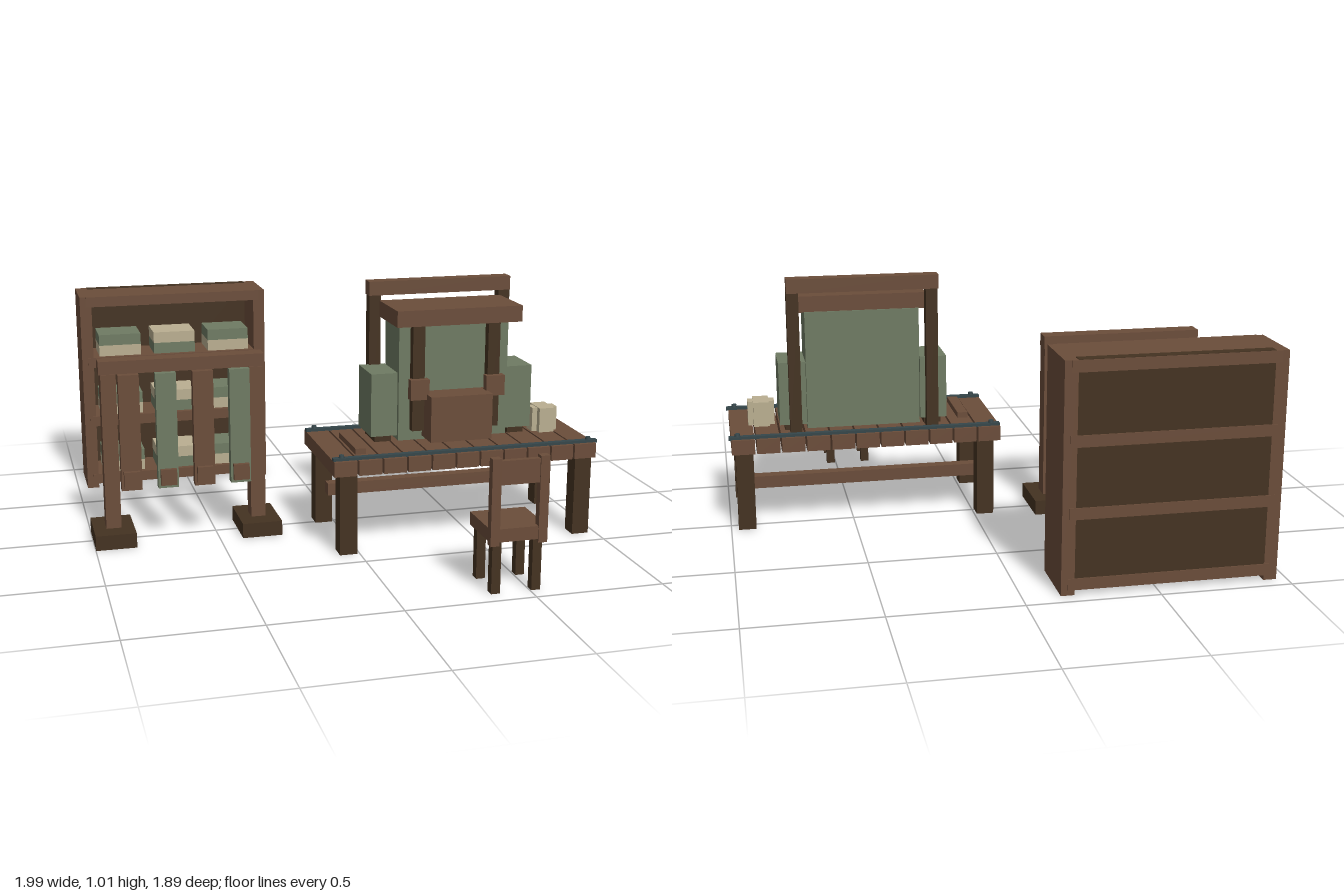
import * as THREE from 'three';

const mat = (name, color) => {
  const m = new THREE.MeshStandardMaterial({ color });
  m.name = name;
  return m;
};

export function createModel() {
  const brown = mat('brown wood', 0x6b4d3a);
  const dark = mat('dark wood', 0x443221);
  const green = mat('sage green', 0x6f7b63);
  const cream = mat('cream', 0xbaaf91);
  const iron = mat('dark iron', 0x35464a);

  const model = new THREE.Group();
  const group = (name) => {
    const g = new THREE.Group();
    g.name = name;
    model.add(g);
    return g;
  };
  // Box given by its limits on each axis
  const box = (parent, name, m, x0, x1, y0, y1, z0, z1) => {
    const mesh = new THREE.Mesh(new THREE.BoxGeometry(x1 - x0, y1 - y0, z1 - z0), m);
    mesh.position.set((x0 + x1) / 2, (y0 + y1) / 2, (z0 + z1) / 2);
    mesh.name = name;
    parent.add(mesh);
    return mesh;
  };

  // Bookcase: sides, back board, shelves and two-tone stacks
  const bookcase = group('bookcase');
  box(bookcase, 'sidePanel', brown, -0.96, -0.91, 0, 0.87, -0.945, -0.70);
  box(bookcase, 'sidePanel', brown, -0.19, -0.14, 0, 0.87, -0.945, -0.70);
  box(bookcase, 'backBoard', dark, -0.91, -0.19, 0.03, 0.872, -0.944, -0.905);
  for (const y of [0.02, 0.287, 0.555, 0.826])
    box(bookcase, 'shelf', brown, -0.935, -0.165, y, y + 0.044, -0.948, -0.695);
  for (const y of [0.064, 0.331, 0.599]) {
    [-0.79, -0.548, -0.305].forEach((x, i) => {
      const [low, high] = i % 2 ? [green, cream] : [cream, green];
      box(bookcase, 'stackBottom', low, x - 0.092, x + 0.092, y, y + 0.048, -0.89, -0.72);
      box(bookcase, 'stackTop', high, x - 0.092, x + 0.092, y + 0.048, y + 0.096, -0.89, -0.72);
    });
  }

  // Hanging rack: beam, two posts on feet, four strips with weights
  const rack = group('hangingRack');
  box(rack, 'rackBeam', brown, -0.955, -0.295, 0.69, 0.742, -0.035, 0.035);
  for (const x of [-0.918, -0.328]) {
    box(rack, 'rackPost', brown, x - 0.03, x + 0.03, 0.06, 0.69, -0.033, 0.04);
    box(rack, 'rackFoot', dark, x - 0.081, x + 0.081, 0, 0.06, -0.113, 0.123);
  }
  [-0.842, -0.696, -0.549, -0.402].forEach((x, i) => {
    box(rack, 'strip', i % 2 ? green : brown, x - 0.041, x + 0.041, 0.22, 0.69, 0.025, 0.064);
    box(rack, 'weight', brown, x - 0.032, x + 0.032, 0.235, 0.30, 0.05, 0.083);
  });

  // Workbench: planks, legs, stretcher and iron rods
  const table = group('workbench');
  for (let i = 0; i < 11; i++) {
    const x = -0.105 + i * 0.0998;
    box(table, 'plank', brown, x, x + 0.092, 0.322, 0.382, -0.073, 0.42);
  }
  for (const x of [-0.08, 0.90])
    for (const z of [-0.055, 0.342])
      box(table, 'tableLeg', dark, x, x + 0.07, 0, 0.322, z, z + 0.07);
  box(table, 'stretcher', brown, -0.045, 0.935, 0.14, 0.19, 0.04, 0.087);
  for (const z of [-0.048, 0.393]) {
    box(table, 'rod', iron, -0.105, 0.995, 0.38, 0.393, z - 0.012, z + 0.012);
    for (const x of [-0.07, 0.96]) {
      const bolt = new THREE.Mesh(new THREE.CylinderGeometry(0.01, 0.012, 0.014, 8), iron);
      bolt.position.set(x, 0.397, z);
      bolt.name = 'bolt';
      table.add(bolt);
    }
  }

  // Press on the bench, mirrored about its middle
  const press = group('press');
  const mid = 0.445;
  box(press, 'topBeam', brown, 0.14, 0.746, 0.955, 1.012, -0.02, 0.038);
  box(press, 'body', green, 0.215, 0.675, 0.39, 0.87, 0.022, 0.21);
  box(press, 'canopy', brown, 0.185, 0.705, 0.868, 0.933, 0.028, 0.282);
  box(press, 'chest', brown, 0.315, 0.572, 0.405, 0.59, 0.2, 0.325);
  for (const s of [-1, 1]) {
    const pair = (name, m, a, b, ...rest) =>
      box(press, name, m, Math.min(mid + s * a, mid + s * b), Math.max(mid + s * a, mid + s * b), ...rest);
    pair('backPost', dark, 0.254, 0.302, 0.382, 0.957, -0.015, 0.031);
    pair('frontPost', dark, 0.133, 0.183, 0.435, 0.87, 0.205, 0.245);
    pair('clamp', brown, 0.12, 0.198, 0.568, 0.65, 0.235, 0.27);
    pair('sideBox', green, 0.232, 0.341, 0.41, 0.668, 0.018, 0.2);
    pair('sideBoxFoot', dark, 0.25, 0.32, 0.382, 0.41, 0.04, 0.18);
  }

  // Loose items on the bench
  const items = group('benchItems');
  box(items, 'looseBoard', brown, 0.003, 0.046, 0.382, 0.405, 0.08, 0.332);
  box(items, 'paperRollWide', cream, 0.802, 0.91, 0.382, 0.482, 0.135, 0.188);
  box(items, 'paperRollDeep', cream, 0.824, 0.888, 0.382, 0.484, 0.108, 0.214);

  // Chair
  const chair = group('chair');
  box(chair, 'seat', brown, 0.337, 0.555, 0.2, 0.25, 0.728, 0.943);
  for (const x of [0.348, 0.505])
    for (const z of [0.744, 0.9])
      box(chair, 'chairLeg', dark, x, x + 0.035, 0, 0.2, z, z + 0.035);
  for (const x of [0.336, 0.52])
    box(chair, 'backPost', brown, x, x + 0.035, 0.187, 0.515, 0.915, 0.947);
  box(chair, 'backRail', brown, 0.365, 0.525, 0.415, 0.505, 0.92, 0.942);

  return model;
}
